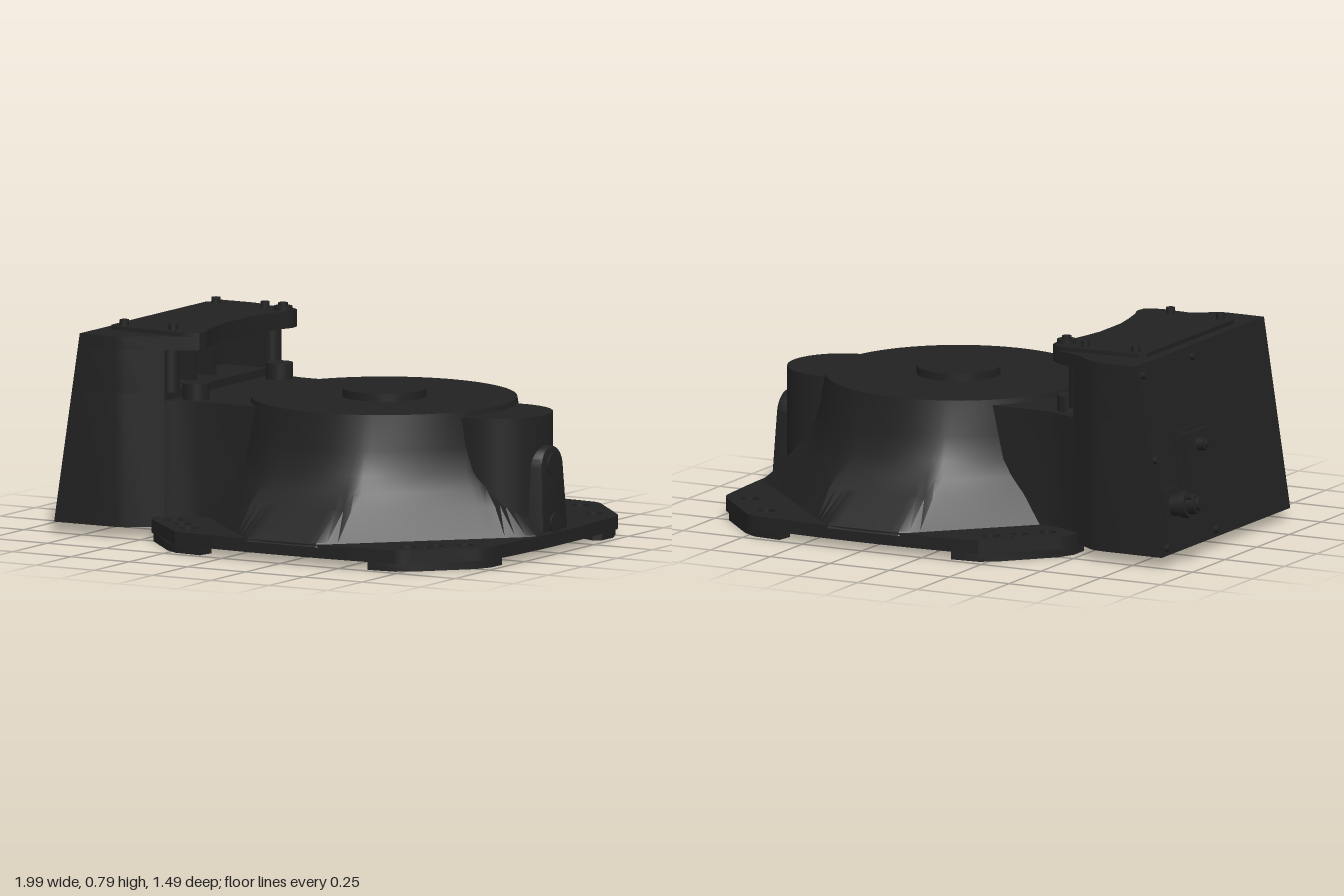
import * as THREE from 'three';
import { toCreasedNormals } from 'three/addons/utils/BufferGeometryUtils.js';

const mat = new THREE.MeshStandardMaterial({ color: 0x222222, side: THREE.DoubleSide });

function add(parent, name, geo, x = 0, y = 0, z = 0) {
  const m = new THREE.Mesh(geo, mat);
  m.name = name;
  m.position.set(x, y, z);
  parent.add(m);
  return m;
}

const box = (w, h, d) => new THREE.BoxGeometry(w, h, d);
const cyl = (r, h, n = 24) => new THREE.CylinderGeometry(r, r, h, n);
const poly = pts => new THREE.Shape(pts.map(p => new THREE.Vector2(...p)));

// Plan outline in (x, z) raised from y0 to y1
function prism(shape, y0, y1) {
  const g = new THREE.ExtrudeGeometry(shape, { depth: y1 - y0, bevelEnabled: false, curveSegments: 20 });
  g.rotateX(Math.PI / 2).translate(0, y1, 0);
  return toCreasedNormals(g, 0.5);
}

// Mirrors a half outline across z = 0
const mirrored = half => [...half, ...half.slice().reverse().map(([x, z]) => [x, -z])];

function drill(shape, holes) {
  for (const [x, z, r] of holes) {
    const p = new THREE.Path();
    p.absarc(x, z, r, 0, Math.PI * 2, true);
    shape.holes.push(p);
  }
  return shape;
}

// Bolt holes of one corner; sx and sz choose the corner
function cornerHoles(sx, sz) {
  const list = [[0.47, 0.62, 0.033], [0.623, 0.465, 0.033]];
  if (!(sx > 0 && sz < 0)) list.push([0.545, 0.54, 0.031]);
  if (sx * sz > 0) list.push([0.545, 0.62, 0.017]);
  return list.map(([x, z, r]) => [0.25 + sx * x, sz * z, r]);
}

// Flared body: an octagon at the foot that turns into the round drum
function flareGeometry() {
  // y, side apothem, diagonal apothem, roundness
  const rings = [[0.07, 0.745, 0.64, 0], [0.085, 0.735, 0.63, 0], [0.19, 0.61, 0.585, 0.1], [0.25, 0.57, 0.55, 0.3],
    [0.31, 0.535, 0.525, 0.6], [0.4, 0.512, 0.51, 0.9], [0.53, 0.49, 0.49, 1]];
  const n = 128, pos = [], idx = [];
  rings.forEach(([y, side, diag, round], i) => {
    for (let j = 0; j <= n; j++) {
      const a = j / n * Math.PI * 2, c = Math.abs(Math.cos(a)), s = Math.abs(Math.sin(a));
      const oct = Math.min(side / Math.max(c, s), diag / ((c + s) * Math.SQRT1_2));
      const r = oct + (Math.min(side, diag) - oct) * round;
      pos.push(0.25 + r * Math.cos(a), y, r * Math.sin(a));
      if (i < rings.length - 1 && j < n) {
        const p = i * (n + 1) + j, q = p + n + 1;
        idx.push(p, q, p + 1, p + 1, q, q + 1);
      }
    }
  });
  const g = new THREE.BufferGeometry();
  g.setAttribute('position', new THREE.Float32BufferAttribute(pos, 3));
  g.setIndex(idx);
  return toCreasedNormals(g, 0.45);
}

// Leans the rear wall of the cabinet inward with height
const LEAN = 0.11 / 0.71;
function lean(g) {
  const p = g.attributes.position;
  for (let i = 0; i < p.count; i++) {
    if (p.getX(i) < -0.8) p.setX(i, p.getX(i) + (p.getY(i) - 0.04) * LEAN);
  }
  return toCreasedNormals(g, 0.5);
}

function buildBase(root) {
  const g = new THREE.Group();
  g.name = 'base';
  root.add(g);
  const corners = [[1, 1], [1, -1], [-1, 1], [-1, -1]];

  // Bolt-down plate with bowed sides
  const s = new THREE.Shape();
  s.moveTo(-0.22, 0.72);
  s.quadraticCurveTo(0.25, 0.765, 0.72, 0.72);
  s.quadraticCurveTo(0.75, 0.715, 0.78, 0.68);
  s.lineTo(0.94, 0.51);
  s.quadraticCurveTo(0.975, 0.48, 0.98, 0.44);
  s.quadraticCurveTo(1.02, 0, 0.98, -0.44);
  s.quadraticCurveTo(0.975, -0.48, 0.94, -0.51);
  s.lineTo(0.78, -0.68);
  s.quadraticCurveTo(0.75, -0.715, 0.72, -0.72);
  s.quadraticCurveTo(0.25, -0.765, -0.22, -0.72);
  s.lineTo(-0.44, -0.51);
  s.quadraticCurveTo(-0.475, -0.48, -0.475, -0.43);
  s.lineTo(-0.475, 0.43);
  s.quadraticCurveTo(-0.475, 0.48, -0.44, 0.51);
  drill(s, corners.flatMap(c => cornerHoles(...c)));
  add(g, 'basePlate', prism(s, 0.03, 0.08));

  // Corner feet
  for (const [sx, sz] of corners) {
    const foot = poly([[0.36, 0.725], [0.47, 0.715], [0.53, 0.675], [0.69, 0.505], [0.72, 0.44], [0.72, 0.36],
      [0.69, 0.34], [0.62, 0.37], [0.39, 0.6], [0.35, 0.66]].map(([x, z]) => [0.25 + sx * x, sz * z]));
    add(g, 'foot', prism(drill(foot, cornerHoles(sx, sz)), 0, 0.03));
  }

  // Drum
  add(g, 'flaredBody', flareGeometry());
  add(g, 'drumTop', cyl(0.49, 0.03, 96), 0.25, 0.515, 0);
  add(g, 'shaftCap', cyl(0.155, 0.03, 48), 0.25, 0.545, 0);

  // Round boss with the bolted rib on the side
  add(g, 'sideBoss', cyl(0.205, 0.44, 64), 0.735, 0.29, 0);
  const rib = new THREE.Shape();
  rib.moveTo(-0.085, 0.06);
  rib.lineTo(0.085, 0.06);
  rib.lineTo(0.07, 0.32);
  rib.absarc(0, 0.32, 0.07, 0, Math.PI, false);
  const ribGeo = new THREE.ExtrudeGeometry(rib, { depth: 0.16, bevelSize: 0.008, bevelThickness: 0.008, bevelSegments: 2 });
  ribGeo.rotateY(Math.PI / 2).translate(0.8, 0, 0);
  const p = ribGeo.attributes.position;
  for (let i = 0; i < p.count; i++) p.setX(i, p.getX(i) + (0.4 - p.getY(i)) * 0.05);
  add(g, 'boltRib', toCreasedNormals(ribGeo, 0.5));
  for (const [x, y] of [[0.968, 0.33], [0.98, 0.11]]) add(g, 'ribPlug', cyl(0.04, 0.02), x, y, 0).rotation.z = Math.PI / 2;

  // Neck joining drum and cabinet
  const neck = mirrored([[0.1, 0.36], [-0.32, 0.36], [-0.37, 0.37], [-0.42, 0.395], [-0.5, 0.43], [-0.6, 0.43]]);
  add(g, 'neck', prism(poly(neck), 0.05, 0.51));
}

function buildCabinet(root) {
  const g = new THREE.Group();
  g.name = 'cabinet';
  root.add(g);

  // Lower housing, open upper walls and overhanging roof
  const outer = [[-0.87, 0.5], [-0.61, 0.5], [-0.57, 0.49], [-0.48, 0.425], [-0.45, 0.41]];
  add(g, 'housing', lean(prism(poly(mirrored(outer)), 0.04, 0.54)));
  const walls = mirrored([...outer, [-0.45, 0.33], [-0.64, 0.33]]);
  add(g, 'upperWalls', lean(prism(poly(walls), 0.54, 0.7)));
  const arc = [[-0.335, 0.35], [-0.33, 0.31], [-0.35, 0.26], [-0.37, 0.17], [-0.385, 0.08]];
  add(g, 'roof', lean(prism(poly(mirrored([...outer.slice(0, 4), [-0.39, 0.39], ...arc])), 0.7, 0.75)));
  const cover = mirrored([[-0.72, 0.34], [-0.7, 0.36], [-0.4, 0.38], [-0.36, 0.37], ...arc]);
  add(g, 'cover', prism(poly(cover), 0.75, 0.765));

  // Posts inside the window, and the ledge pads below it
  for (const s of [-1, 1]) {
    add(g, 'windowRib', box(0.12, 0.16, 0.025), -0.58, 0.62, s * 0.07);
    add(g, 'windowPost', cyl(0.035, 0.16), -0.45, 0.62, s * 0.365);
    add(g, 'ledgePad', cyl(0.05, 0.07), -0.38, 0.535, s * 0.3);
    add(g, 'coverScrew', cyl(0.017, 0.025, 12), -0.67, 0.775, s * 0.33);
    add(g, 'coverScrew', cyl(0.017, 0.025, 12), -0.46, 0.775, s * 0.33);
  }
  add(g, 'earBoss', cyl(0.035, 0.02), -0.37, 0.77, -0.31);
  add(g, 'earScrew', cyl(0.018, 0.025, 12), -0.37, 0.78, -0.31);

  // Connector panel lying on the leaning rear wall; local -x points outward
  const panel = new THREE.Group();
  panel.name = 'connectorPanel';
  panel.position.set(-0.87, 0.04, 0);
  panel.rotation.z = -Math.atan(LEAN);
  g.add(panel);
  const across = (name, r, len, x, y, z, n = 24) => {
    add(panel, name, cyl(r, len, n), x, y, z).rotation.z = Math.PI / 2;
  };
  add(panel, 'backPlate', box(0.016, 0.7, 0.43), 0, 0.355, -0.28);
  for (const y of [0.03, 0.36, 0.68]) {
    for (const z of [-0.47, -0.09]) across('plateScrew', 0.014, 0.02, -0.014, y, z, 12);
  }
  add(panel, 'socketBlock', box(0.05, 0.22, 0.2), -0.025, 0.31, -0.19);
  add(panel, 'socketFlange', box(0.02, 0.25, 0.24), -0.01, 0.31, -0.19);
  across('smallPlug', 0.025, 0.05, -0.06, 0.37, -0.2);
  across('smallPlugTip', 0.015, 0.03, -0.08, 0.37, -0.2);

  // Round cable connector
  add(panel, 'connectorFlange', box(0.03, 0.13, 0.12), -0.015, 0.18, -0.41);
  [[0.04, 0.05, -0.05], [0.05, 0.03, -0.085], [0.038, 0.04, -0.115], [0.028, 0.03, -0.135]].forEach(([r, len, x]) =>
    across('connectorRing', r, len, x, 0.18, -0.41));
  const wire = new THREE.CatmullRomCurve3([[-0.09, 0.2, -0.43], [-0.13, 0.21, -0.45], [-0.15, 0.2, -0.47]]
    .map(v => new THREE.Vector3(...v)));
  add(panel, 'capTether', new THREE.TubeGeometry(wire, 10, 0.006, 8));
}

export function createModel() {
  const root = new THREE.Group();
  root.name = 'machineBase';
  buildBase(root);
  buildCabinet(root);
  return root;
}
